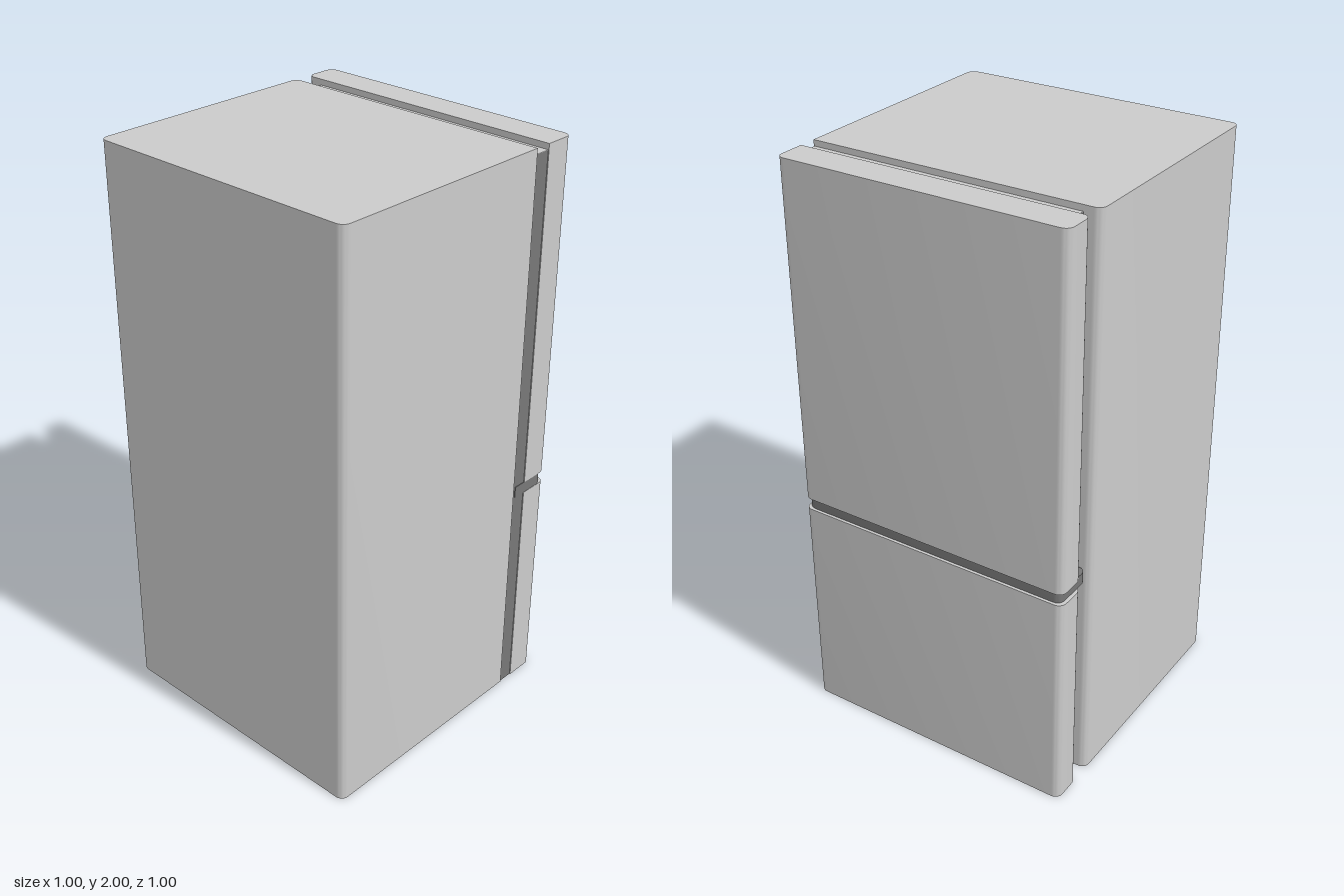
import * as THREE from 'three';
import { toCreasedNormals } from 'three/addons/utils/BufferGeometryUtils.js';

const shell = new THREE.MeshStandardMaterial({ color: 0xcccccc });
const dark = new THREE.MeshStandardMaterial({ color: 0x777777 });

// Upright block with a rounded plan; radii: front-left x0, front x1, back x1, back x0
function block(name, [x0, x1], [y0, y1], [z0, z1], radii, material) {
  const corners = [[x0, -z1], [x1, -z1], [x1, -z0], [x0, -z0]];
  const shape = new THREE.Shape();
  const toward = (a, b, r) => {
    const d = Math.hypot(b[0] - a[0], b[1] - a[1]);
    return [a[0] + (b[0] - a[0]) * r / d, a[1] + (b[1] - a[1]) * r / d];
  };
  corners.forEach((c, i) => {
    const start = toward(c, corners[(i + 3) % 4], radii[i]);
    const end = toward(c, corners[(i + 1) % 4], radii[i]);
    if (i === 0) shape.moveTo(...start); else shape.lineTo(...start);
    if (radii[i] > 0) {
      const k = 0.5523;
      const a = toward(c, start, radii[i] * (1 - k));
      const b = toward(c, end, radii[i] * (1 - k));
      shape.bezierCurveTo(...a, ...b, ...end);
    }
  });
  shape.closePath();
  let geo = new THREE.ExtrudeGeometry(shape, { depth: y1 - y0, bevelEnabled: false, curveSegments: 8 });
  geo.rotateX(-Math.PI / 2).translate(0, y0, 0);
  geo = toCreasedNormals(geo, 0.6);
  const mesh = new THREE.Mesh(geo, material);
  mesh.name = name;
  return mesh;
}

export function createModel() {
  const group = new THREE.Group();
  group.name = 'refrigerator';
  const r = 0.027;
  const depth = [-0.5, 0.5];

  // Cabinet
  group.add(block('cabinet', [-0.5, 0.33], [0, 2], depth, [r, 0, r, r], shell));

  // Doors, facing +x
  const doorX = [0.387, 0.5];
  const doorRadii = [0, r, r, r];
  group.add(block('upperDoor', doorX, [0.82, 2], depth, doorRadii, shell));
  group.add(block('lowerDoor', doorX, [0, 0.78], depth, doorRadii, shell));

  // Seal between cabinet and doors, with a thin cap on top
  group.add(block('doorSeal', [0.33, 0.387], [0, 1.978], [-0.44, 0.497], [0, 0, 0, 0], dark));
  group.add(block('sealCap', [0.33, 0.387], [1.978, 1.98], [-0.44, 0.497], [0, 0, 0, 0], shell));

  // Recessed strip between the doors
  group.add(block('doorGapStrip', [0.34, 0.49], [0.78, 0.82], [-0.488, 0.499], [0, 0.035, 0.025, 0.025], dark));
  return group;
}
